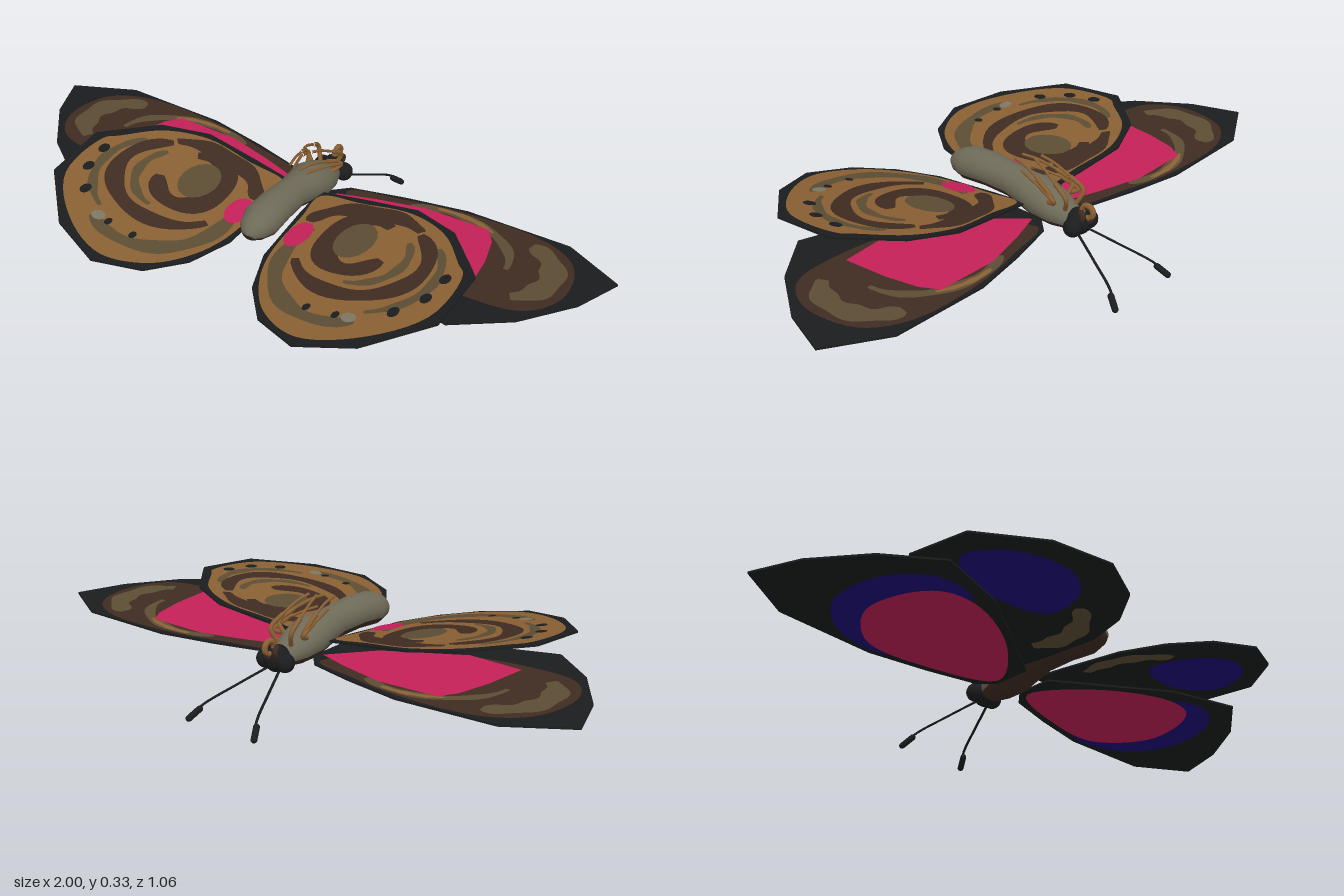
import * as THREE from 'three';

const mat = (name, color) => Object.assign(new THREE.MeshStandardMaterial({ color }), { name });
const M = {
  black: mat('wing black', 0x1b1c1d),
  brown: mat('dark brown', 0x3f2c22),
  olive: mat('olive', 0x5c4d33),
  ochre: mat('ochre', 0x8a6033),
  pink: mat('crimson', 0xc42058),
  blue: mat('deep blue', 0x1e0c78),
  body: mat('body grey', 0x6e6a58),
  spot: mat('pale spot', 0x7c7864),
};

// Height of each wing pair as a tilted plane
const foreY = (x, z) => 0.166 + 0.018 * x + 0.06 * z;
const hindY = (x, z) => 0.178 + 0.125 * x - 0.045 * z;
const HALF = 0.003, STEP = 0.0013;

// Wing outlines as [x, z] of the left side
const foreOutline = [[0.05, -0.18], [0.1, -0.23], [0.27, -0.275], [0.47, -0.315], [0.81, -0.315], [1, -0.215],
  [0.94, -0.06], [0.82, 0.1], [0.66, 0.22], [0.42, 0.16], [0.2, 0.03], [0.05, -0.06]];
const hindOutline = [[0.05, -0.12], [0.2, -0.135], [0.38, -0.148], [0.53, -0.09], [0.64, 0.03], [0.675, 0.07],
  [0.67, 0.29], [0.515, 0.46], [0.345, 0.527], [0.2, 0.47], [0.11, 0.36], [0.06, 0.22], [0.05, 0]];

const inset = (pts, k, cx, cz) => pts.map(([x, z]) => [cx + (x - cx) * k, cz + (z - cz) * k]);
const smooth = pts => new THREE.CatmullRomCurve3(pts.map(([x, z]) => new THREE.Vector3(x, 0, z)), true)
  .getPoints(pts.length * 6).slice(0, -1).map(p => [p.x, p.z]);

// Elliptical band from angle a to b in degrees, tapering and slightly wavy
function band(cx, cz, rx, rz, a, b, width) {
  const outer = [], inner = [], n = 30;
  for (let i = 0; i <= n; i++) {
    const t = i / n, angle = THREE.MathUtils.degToRad(a + (b - a) * t);
    const w = width / 2 * (0.4 + 0.6 * Math.sqrt(Math.max(0, Math.sin(Math.PI * t))) + 0.15 * Math.sin(t * 19));
    const c = Math.cos(angle), d = Math.sin(angle);
    outer.push([cx + (rx + w) * c, cz + (rz + w) * d]);
    inner.push([cx + (rx - w) * c, cz + (rz - w) * d]);
  }
  return outer.concat(inner.reverse());
}

const oval = (x, z, rx, rz) => Array.from({ length: 16 }, (_, i) => {
  const a = i / 16 * Math.PI * 2;
  return [x + rx * Math.cos(a), z + rz * Math.sin(a)];
});

// Lay a flat geometry on the wing plane
function lay(geo, height) {
  const p = geo.attributes.position;
  for (let i = 0; i < p.count; i++) p.setY(i, p.getY(i) + height(Math.abs(p.getX(i)), p.getZ(i)));
  geo.computeVertexNormals();
  return geo;
}

function slab(pts, s, height) {
  const shape = new THREE.Shape(pts.map(([x, z]) => new THREE.Vector2(s * x, -z)));
  const geo = new THREE.ExtrudeGeometry(shape, { depth: HALF * 2, bevelEnabled: false });
  return lay(geo.rotateX(-Math.PI / 2).translate(0, -HALF, 0), height);
}

// Painted face: layer > 0 on the upper face, layer < 0 on the lower face
function paint(pts, s, height, layer) {
  const up = Math.sign(layer);
  const shape = new THREE.Shape(pts.map(([x, z]) => new THREE.Vector2(s * x, -up * z)));
  const geo = new THREE.ShapeGeometry(shape);
  return lay(geo.rotateX(-up * Math.PI / 2).translate(0, up * HALF + layer * STEP, 0), height);
}

function wing(name, outline, height, s) {
  const group = new THREE.Group();
  group.name = name;
  const add = (part, geo, m) => group.add(Object.assign(new THREE.Mesh(geo, m), { name: part }));
  add('wingSlab', slab(outline, s, height), M.black);
  const mark = (part, m, layer, pts) => add(part, paint(pts, s, height, layer), m);
  return { group, mark };
}

function forewing(name, s) {
  const { group, mark } = wing(name, foreOutline, foreY, s);
  mark('brownField', M.brown, 1, smooth([[0.1, -0.205], [0.27, -0.26], [0.47, -0.3], [0.74, -0.295], [0.86, -0.22],
    [0.89, -0.06], [0.82, 0.05], [0.66, 0.08], [0.4, 0.04]]));
  mark('oliveArc', M.olive, 2, band(0.69, -0.11, 0.14, 0.14, -80, 60, 0.075));
  mark('oliveEdge', M.olive, 2, band(0.45, -0.1, 0.245, 0.175, -125, 0, 0.035));
  mark('ochreEdge', M.ochre, 3, band(0.45, -0.1, 0.24, 0.178, -105, -55, 0.018));
  mark('crimsonPatch', M.pink, 4, [[0.08, -0.17], [0.2, -0.21], [0.36, -0.252], [0.57, -0.252], [0.605, -0.2],
    [0.63, -0.1], [0.645, 0.04], [0.45, 0.06], [0.2, -0.05]]);
  mark('lowerBlue', M.blue, -1, smooth([[0.42, -0.275], [0.62, -0.275], [0.75, -0.15], [0.74, 0.03], [0.63, 0.14], [0.47, 0.12]]));
  mark('lowerCrimson', M.pink, -2, smooth([[0.07, -0.165], [0.3, -0.255], [0.52, -0.265], [0.65, -0.13], [0.63, 0.02],
    [0.56, 0.1], [0.43, 0.11], [0.2, 0]]));
  return group;
}

function hindwing(name, s) {
  const { group, mark } = wing(name, hindOutline, hindY, s);
  mark('ochreField', M.ochre, 1, smooth(inset(hindOutline, 0.915, 0.24, 0.13)));
  mark('rootBrown', M.brown, 2, band(0.3, 0.04, 0.2, 0.13, -175, -45, 0.06));
  mark('innerOlive', M.olive, 2, band(0.34, 0.16, 0.23, 0.25, 60, 205, 0.05));
  mark('innerRing', M.brown, 3, band(0.3, 0.07, 0.1, 0.12, 20, 300, 0.07));
  mark('centreOlive', M.olive, 4, oval(0.28, 0.06, 0.06, 0.085));
  mark('outerArc', M.brown, 3, band(0.33, 0.11, 0.2, 0.18, -55, 150, 0.055));
  mark('midOlive', M.olive, 4, band(0.33, 0.1, 0.135, 0.14, -40, 85, 0.03));
  mark('rimOlive', M.olive, 2, band(0.34, 0.14, 0.24, 0.22, -40, 60, 0.03));
  mark('crimsonSpot', M.pink, 5, oval(0.108, 0.1, 0.037, 0.062));
  // Row of spots following the rim
  for (const angle of [-5, 18, 42, 78, 98]) {
    const a = THREE.MathUtils.degToRad(angle), r = angle < 60 ? 0.016 : 0.011;
    mark('edgeSpot', M.black, 5, oval(0.34 + 0.265 * Math.cos(a), 0.14 + 0.24 * Math.sin(a), r, r * 1.4));
  }
  mark('paleSpot', M.spot, 5, oval(0.435, 0.37, 0.022, 0.02));
  mark('lowerBlue', M.blue, -1, smooth([[0.25, 0.19], [0.48, 0.12], [0.6, 0.2], [0.53, 0.35], [0.38, 0.41], [0.27, 0.34]]));
  mark('lowerOlive', M.olive, -1, band(0.3, 0.12, 0.19, 0.2, 115, 205, 0.065));
  return group;
}

// Strip of the body through elliptical cross-sections [z, centre y, half width, half height];
// the angle runs around the body from its lowest line
function bodyGeometry(sections, start, length) {
  const geo = new THREE.CylinderGeometry(1, 1, 1, 24, sections.length - 1, true, start, length);
  const p = geo.attributes.position;
  for (let i = 0; i < p.count; i++) {
    const [z, cy, rx, ry] = sections[Math.floor(i / 25)];
    p.setXYZ(i, p.getX(i) * rx, cy - p.getZ(i) * ry, z);
  }
  geo.computeVertexNormals();
  return geo;
}

export function createModel() {
  const model = new THREE.Group();
  model.name = 'butterfly';
  const add = (name, geo, m, x = 0, y = 0, z = 0) => {
    const mesh = new THREE.Mesh(geo, m);
    mesh.name = name;
    mesh.position.set(x, y, z);
    model.add(mesh);
    return mesh;
  };
  const tube = (name, pts, r, m) => add(name, new THREE.TubeGeometry(
    new THREE.CatmullRomCurve3(pts.map(p => new THREE.Vector3(...p))), 20, r, 6), m);

  // Abdomen and thorax, pale belly and dark back
  const sections = [[0.216, 0.225, 0.001, 0.001], [0.208, 0.225, 0.025, 0.022], [0.185, 0.228, 0.045, 0.038],
    [0.14, 0.23, 0.06, 0.053], [0.06, 0.232, 0.057, 0.053], [-0.03, 0.222, 0.05, 0.052], [-0.09, 0.21, 0.06, 0.055],
    [-0.15, 0.198, 0.07, 0.062], [-0.21, 0.183, 0.062, 0.052], [-0.26, 0.17, 0.042, 0.036], [-0.29, 0.165, 0.001, 0.001]];
  const split = Math.PI * 0.36;
  add('belly', bodyGeometry(sections, split, 2 * (Math.PI - split)), M.body);
  add('back', bodyGeometry(sections, -split, 2 * split), M.brown);

  // Head and coiled tongue
  add('head', new THREE.SphereGeometry(0.042, 20, 14), M.black, 0, 0.165, -0.282);
  const coil = add('tongueCoil', new THREE.TorusGeometry(0.02, 0.009, 8, 20), M.ochre, 0, 0.205, -0.315);
  coil.rotation.y = Math.PI / 2;
  tube('tongueBase', [[0, 0.17, -0.31], [0, 0.18, -0.327], [0, 0.2, -0.334]], 0.008, M.brown);

  for (const s of [1, -1]) {
    const side = s > 0 ? 'left' : 'right';
    model.add(forewing(side + 'Forewing', s), hindwing(side + 'Hindwing', s));

    add(side + 'Eye', new THREE.SphereGeometry(0.03, 16, 12), M.black, s * 0.038, 0.16, -0.29);
    tube(side + 'Palp', [[s * 0.018, 0.17, -0.3], [s * 0.022, 0.195, -0.315], [s * 0.018, 0.21, -0.3]], 0.009, M.brown);

    // Antenna with clubbed end
    tube(side + 'Antenna', [[s * 0.02, 0.14, -0.29], [s * 0.065, 0.095, -0.39], [s * 0.108, 0.05, -0.483],
      [s * 0.13, 0.016, -0.518]], 0.004, M.black);
    const club = add(side + 'AntennaClub', new THREE.CapsuleGeometry(0.01, 0.042, 4, 10), M.black, s * 0.124, 0.023, -0.506);
    club.quaternion.setFromUnitVectors(new THREE.Vector3(0, 1, 0), new THREE.Vector3(s * 0.022, -0.034, -0.037).normalize());

    // Three folded legs, thick thigh and thin shin
    const legs = [
      [[0.025, 0.2, -0.25], [0.042, 0.245, -0.265], [0.036, 0.28, -0.22], [0.025, 0.312, -0.165], [0.015, 0.327, -0.125]],
      [[0.03, 0.21, -0.21], [0.055, 0.25, -0.215], [0.045, 0.282, -0.16], [0.03, 0.302, -0.1], [0.018, 0.308, -0.05]],
      [[0.035, 0.21, -0.18], [0.06, 0.232, -0.235], [0.052, 0.258, -0.18], [0.035, 0.27, -0.12], [0.022, 0.276, -0.08]],
    ];
    for (const leg of legs) {
      const pts = leg.map(([x, y, z]) => [s * x, y, z]);
      tube(side + 'Thigh', pts.slice(0, 3), 0.0075, M.ochre);
      tube(side + 'Shin', pts.slice(2), 0.0045, M.ochre);
    }
  }
  return model;
}
